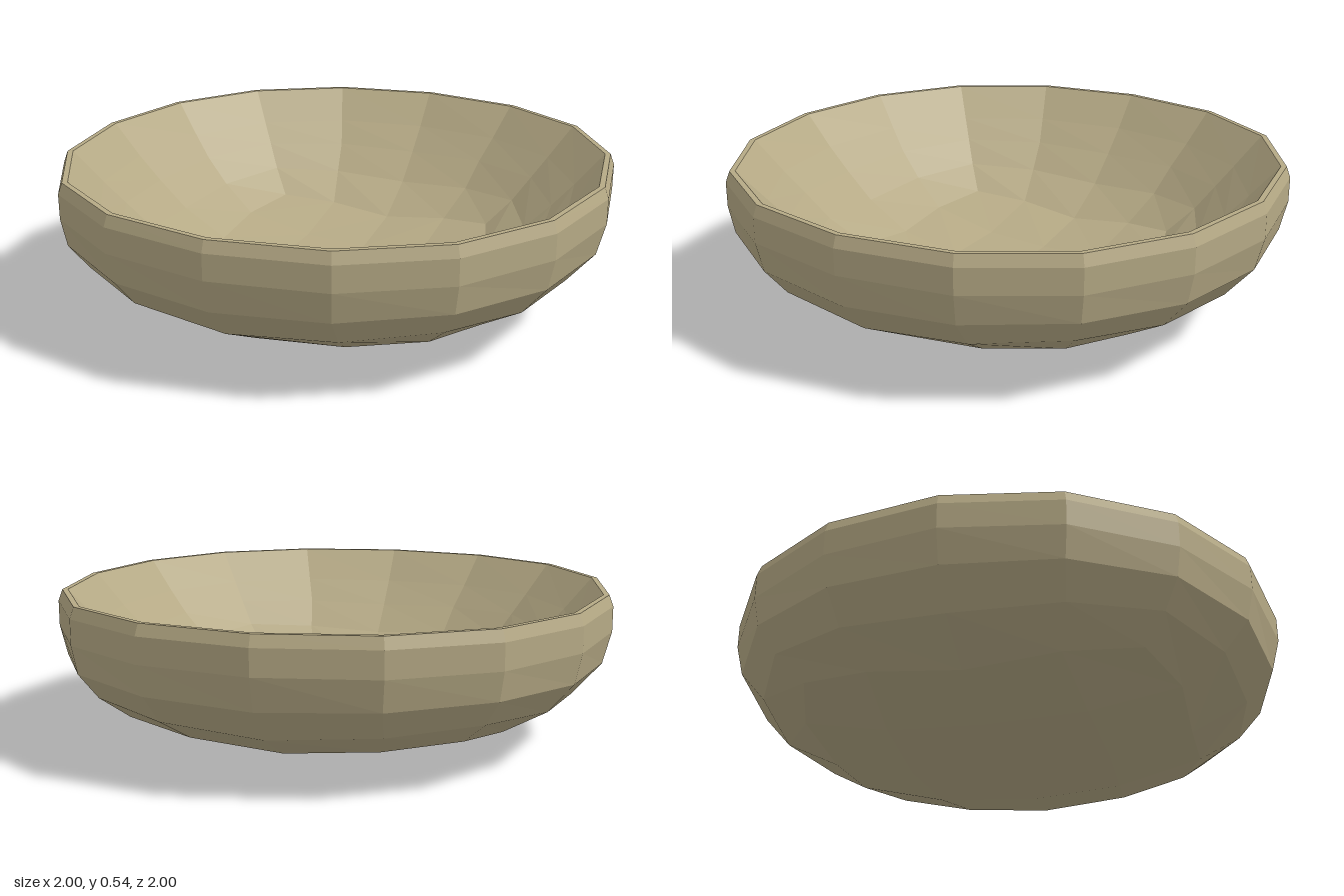
import * as THREE from 'three';

const SEG = 16;

// Each ring: radius and height on the axes, radius and height on the diagonals, angular bias.
const outer = [
  [0, 0, 0, 0, 0],
  [0.37, 0.02, 0.5, 0.04, 0],
  [0.67, 0.08, 0.82, 0.14, 0.06],
  [0.87, 0.18, 0.93, 0.22, 0.03],
  [0.97, 0.295, 1.0, 0.31, 0.01],
  [1.0, 0.41, 1.02, 0.41, 0.01],
  [1.0, 0.5, 1.02, 0.5, 0.01],
  [0.985, 0.54, 1.005, 0.54, 0.01],
];
const inner = [
  [0, 0.07, 0, 0.07, 0],
  [0.25, 0.085, 0.34, 0.1, 0],
  [0.49, 0.13, 0.62, 0.18, 0.06],
  [0.66, 0.23, 0.73, 0.265, 0.03],
  [0.77, 0.33, 0.81, 0.35, 0.01],
  [0.86, 0.42, 0.88, 0.425, 0.01],
  [0.965, 0.54, 0.985, 0.54, 0.01],
];

// Point k (of 16) on a ring, blending from the axis to the diagonal values
function ringPoint([r0, y0, r1, y1, bias], k) {
  const a = (k / SEG) * Math.PI * 2;
  const t = Math.sin(2 * a) ** 2;
  const angle = a + bias * Math.sin(4 * a);
  const r = r0 + (r1 - r0) * t;
  return [r * Math.cos(angle), y0 + (y1 - y0) * t, r * Math.sin(angle)];
}

function bowlGeometry() {
  const pos = [];
  const quad = (a, b, c, d) => pos.push(...a, ...b, ...c, ...a, ...c, ...d);

  // Square 4 x 4 patch that closes the bottom of a shell
  const patch = (rings, up) => {
    const p = (i, j) => ringPoint(
      rings[Math.max(Math.abs(i), Math.abs(j))],
      Math.round(Math.atan2(j, i) / (Math.PI / 8)),
    );
    for (let i = -2; i < 2; i++) {
      for (let j = -2; j < 2; j++) {
        const q = [p(i, j), p(i + 1, j), p(i + 1, j + 1), p(i, j + 1)];
        quad(...(up ? q.reverse() : q));
      }
    }
  };
  patch(outer, false);
  patch(inner, true);

  // Wall: up the outside, across the rim, down the inside
  const wall = [...outer.slice(2), ...inner.slice(2).reverse()];
  for (let n = 0; n < wall.length - 1; n++) {
    for (let k = 0; k < SEG; k++) {
      quad(
        ringPoint(wall[n], k), ringPoint(wall[n + 1], k),
        ringPoint(wall[n + 1], k + 1), ringPoint(wall[n], k + 1),
      );
    }
  }

  const geometry = new THREE.BufferGeometry();
  geometry.setAttribute('position', new THREE.Float32BufferAttribute(pos, 3));
  geometry.computeVertexNormals();
  return geometry;
}

export function createModel() {
  const group = new THREE.Group();
  group.name = 'roundBowl';
  const material = new THREE.MeshStandardMaterial({ color: 0xb5a985, flatShading: true });
  const bowl = new THREE.Mesh(bowlGeometry(), material);
  bowl.name = 'bowl';
  group.add(bowl);
  return group;
}
